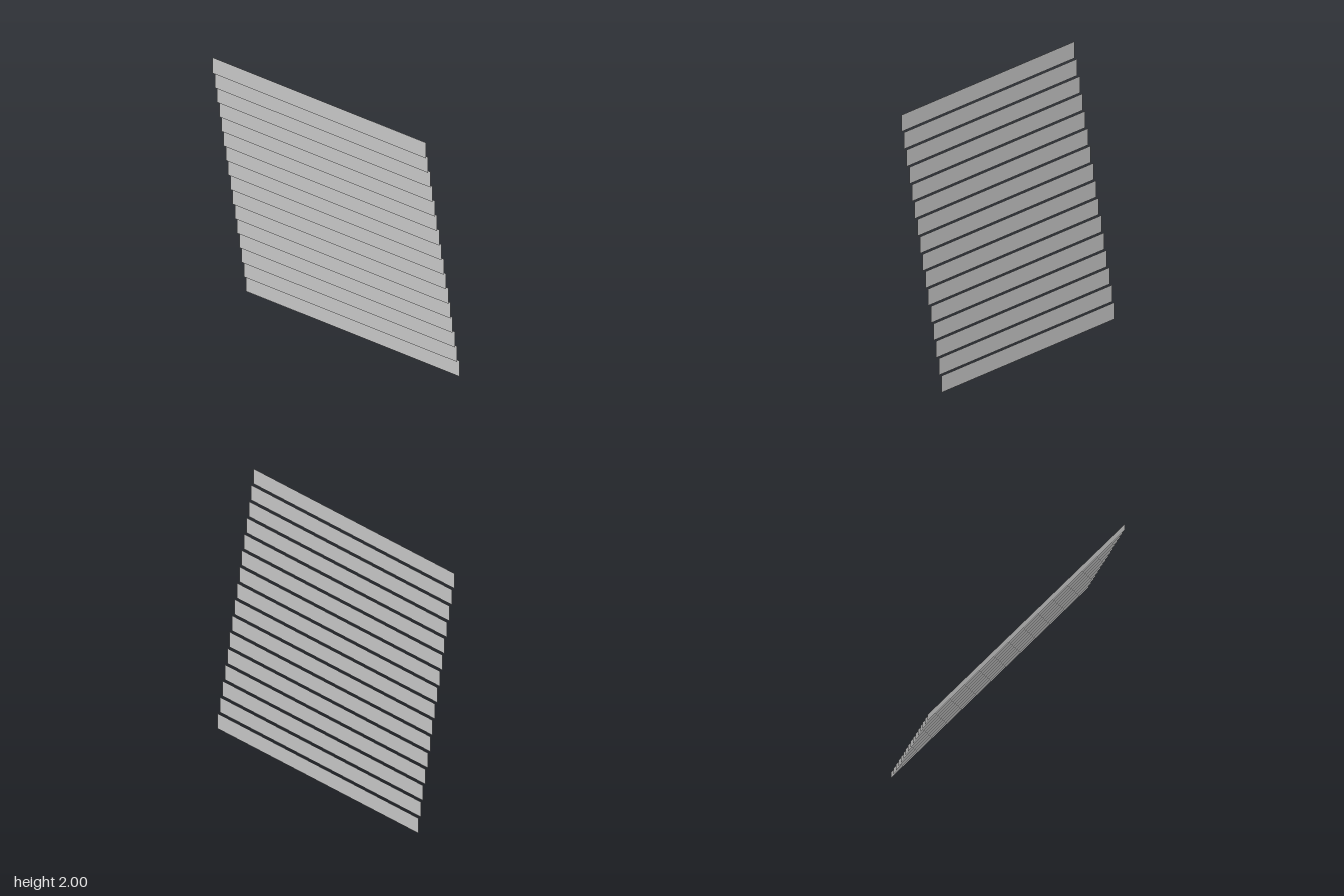
import * as THREE from 'three';

const SLATS = 16;
const WIDTH = 2;
const PITCH = 2 / SLATS; // height of one slat
const STEP = 0.024;      // forward offset from one slat to the next

export function createModel() {
  const group = new THREE.Group();
  group.name = 'steppedSlatPanel';
  const material = new THREE.MeshStandardMaterial({ color: 0xcccccc, side: THREE.DoubleSide });
  const geometry = new THREE.PlaneGeometry(WIDTH, PITCH);

  // Thin upright slats, each set a little further forward than the one below
  for (let i = 0; i < SLATS; i++) {
    const slat = new THREE.Mesh(geometry, material);
    slat.name = `slat${i + 1}`;
    slat.position.set(0, (i + 0.5) * PITCH, (i - (SLATS - 1) / 2) * STEP);
    group.add(slat);
  }
  return group;
}
